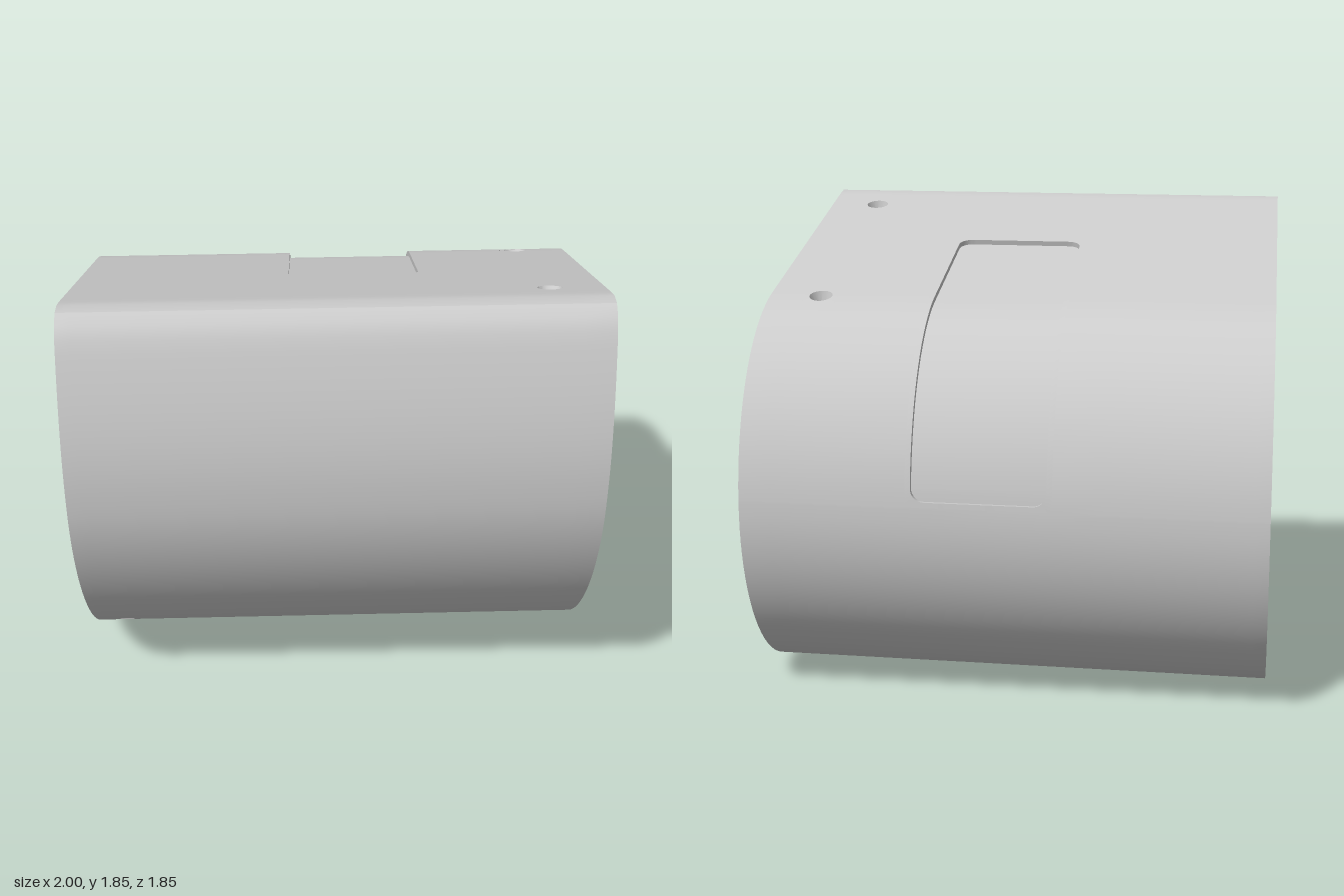
import * as THREE from 'three';
import { toCreasedNormals } from 'three/addons/utils/BufferGeometryUtils.js';

const WALL = 0.05, X0 = -1, X1 = 0.945;
const mat = new THREE.MeshStandardMaterial({ color: 0xcccccc, side: THREE.DoubleSide });

// Cross-section of the housing as (z, y), going over the top to the back, underneath and up the front
const profile = new THREE.Path();
profile.moveTo(0.66, 1.83);
profile.lineTo(-0.42, 1.51);
profile.bezierCurveTo(-0.71, 1.425, -0.92, 1.12, -0.92, 0.76);
profile.bezierCurveTo(-0.92, 0.36, -0.62, 0.008, -0.22, 0.008);
profile.bezierCurveTo(0.32, 0.008, 0.9, 0.62, 0.915, 1.15);
profile.bezierCurveTo(0.93, 1.35, 0.89, 1.55, 0.835, 1.74);
profile.bezierCurveTo(0.8, 1.86, 0.74, 1.854, 0.66, 1.83);
const LEN = profile.getLength();

// Point on the housing: x along it, s around it, off outward from the surface
function at(x, s, off = 0) {
  const t = s / LEN, wrap = v => ((v % 1) + 1) % 1;
  const p = profile.getPoint(wrap(t));
  const d = profile.getPoint(wrap(t + 0.002)).sub(profile.getPoint(wrap(t - 0.002))).normalize();
  return [x, p.y - d.x * off + 0.007 * x, p.x + d.y * off - 0.004 * x];
}

// Distance around the profile nearest to a given z, y
function sNear(z, y) {
  let best = 0, min = Infinity;
  for (let i = 0; i < 1000; i++) {
    const p = profile.getPoint(i / 1000), d = Math.hypot(p.x - z, p.y - y);
    if (d < min) { min = d; best = (i / 1000) * LEN; }
  }
  return best;
}

// Loop of a rounded rectangle around h; with margin it becomes the surrounding sharp rectangle
function ring(h, a, b, r, margin = null) {
  const out = [], N = 8, SIDE = 30;
  for (let k = 0; k < 4; k++) {
    const cx = (k === 0 || k === 3 ? 1 : -1) * (a - r), cs = (k < 2 ? 1 : -1) * (b - r);
    for (let j = 0; j <= N; j++) {
      const w = (k + j / N) * Math.PI / 2, c = Math.cos(w), s = Math.sin(w);
      const f = margin === null ? r : (r + margin) / Math.max(Math.abs(c), Math.abs(s));
      out.push([h.x + cx + c * f, h.s + cs + s * f]);
    }
  }
  const full = [];
  out.forEach((p, i) => {
    full.push(p);
    const q = out[(i + 1) % out.length];
    if (i % (N + 1) === N && (a - r > 0.001 || b - r > 0.001)) {
      for (let j = 1; j < SIDE; j++) full.push([0, 1].map(n => p[n] + (q[n] - p[n]) * j / SIDE));
    }
  });
  return full;
}

const M = 0.02;
const round = (x, z, y, r, ri = r) => ({ x, s: sNear(z, y), a: r, b: r, r, ri });
const holes = [
  round(0.745, -0.435, 1.5, 0.045, 0.025), round(0.745, 0.535, 1.79, 0.045, 0.025),
  round(-0.89, 0.41, 0.26, 0.035), round(0.245, 0.33, 0.2, 0.035),
  round(0.76, 0.07, 0.055, 0.045, 0.025), round(-0.2, 0.13, 0.08, 0.185),
];
const sTop = sNear(0.15, 1.68), sLow = sNear(-0.92, 0.82);
const panel = { x: 0.05, s: (sTop + sLow) / 2, a: 0.25, b: (sLow - sTop) / 2, r: 0.05 };

function housingGeometry() {
  const pos = [];
  const quad = (p, q, r, s, flip) => pos.push(...(flip ? [p, r, q, p, s, r] : [p, q, r, p, r, s]).flat());
  const lines = (list) => [...new Set(list)].sort((u, v) => u - v);

  // One skin of the wall, with its openings left free
  function skin(off, flip, cuts) {
    const xs = lines([X0, X1, ...cuts.flatMap(h => [h.x - h.a - M, h.x + h.a + M])]);
    const ss = lines([...Array.from({ length: 111 }, (_, i) => i * LEN / 110),
      ...cuts.flatMap(h => [h.s - h.b - M, h.s + h.b + M])]);
    for (let i = 0; i < xs.length - 1; i++) for (let j = 0; j < ss.length - 1; j++) {
      const mx = (xs[i] + xs[i + 1]) / 2, ms = (ss[j] + ss[j + 1]) / 2;
      if (cuts.some(h => Math.abs(mx - h.x) < h.a + M && Math.abs(ms - h.s) < h.b + M)) continue;
      quad(at(xs[i], ss[j], off), at(xs[i + 1], ss[j], off), at(xs[i + 1], ss[j + 1], off), at(xs[i], ss[j + 1], off), flip);
    }
    for (const h of cuts) {
      const ri = flip ? h.ri : h.r;
      const inner = flip ? ring(h, ri, ri, ri) : ring(h, h.a, h.b, h.r);
      const outer = ring(h, h.a, h.b, h.r, M);
      inner.forEach((p, i) => {
        const k = (i + 1) % inner.length;
        quad(at(...p, off), at(...outer[i], off), at(...outer[k], off), at(...inner[k], off), flip);
      });
    }
  }
  skin(0, false, [...holes, panel]);
  skin(-WALL, true, holes);

  // Walls of the openings and of the shallow panel
  const wall = (top, low, depth) => top.forEach((p, i) => {
    const k = (i + 1) % top.length;
    quad(at(...p), at(...top[k]), at(...low[k], -depth), at(...low[i], -depth));
  });
  holes.forEach(h => wall(ring(h, h.r, h.r, h.r), ring(h, h.ri, h.ri, h.ri), WALL));
  const edge = ring(panel, panel.a, panel.b, panel.r);
  wall(edge, edge, 0.02);

  // Floor of the panel, in rows that narrow at the rounded corners
  const rows = lines(edge.map(p => Math.round(p[1] * 1e5) / 1e5));
  const half = s => {
    const d = Math.min(panel.r, Math.max(0, Math.abs(s - panel.s) - (panel.b - panel.r)));
    return panel.a - panel.r + Math.sqrt(panel.r ** 2 - d ** 2);
  };
  for (let i = 0; i < rows.length - 1; i++) {
    const [s, t] = [rows[i], rows[i + 1]], [u, v] = [half(s), half(t)];
    quad(at(panel.x - u, s, -0.02), at(panel.x + u, s, -0.02), at(panel.x + v, t, -0.02), at(panel.x - v, t, -0.02));
  }

  // Rims at both ends
  for (const x of [X0, X1]) for (let i = 0; i < 110; i++) {
    const s = i * LEN / 110, t = (i + 1) * LEN / 110;
    quad(at(x, s), at(x, s, -WALL), at(x, t, -WALL), at(x, t), x === X0);
  }
  const g = new THREE.BufferGeometry();
  g.setAttribute('position', new THREE.Float32BufferAttribute(pos, 3));
  return toCreasedNormals(g, 0.5);
}

// Flat plate across the housing, drawn in (z, y) and extruded along x
function plate(outline, cuts, x, depth) {
  const vec = pts => pts.map(([z, y]) => new THREE.Vector2(-z, y));
  const shape = new THREE.Shape(vec(outline));
  shape.holes = cuts.map(c => new THREE.Path(vec(c)));
  const g = new THREE.ExtrudeGeometry(shape, { depth, bevelEnabled: false });
  g.rotateY(Math.PI / 2).translate(x, 0, 0);
  return toCreasedNormals(g, 0.5);
}
const circle = (z, y, r, n = 24) => Array.from({ length: n }, (_, i) =>
  [z + r * Math.cos(i * 2 * Math.PI / n), y + r * Math.sin(i * 2 * Math.PI / n)]);
function slot(z1, y1, z2, y2, r = 0.015) {
  const w = Math.atan2(y2 - y1, z2 - z1);
  return Array.from({ length: 18 }, (_, i) => {
    const e = i < 9, t = w + (e ? -Math.PI / 2 + i * Math.PI / 8 : Math.PI / 2 + (i - 9) * Math.PI / 8);
    return [(e ? z2 : z1) + r * Math.cos(t), (e ? y2 : y1) + r * Math.sin(t)];
  });
}
function contour(x, s0, s1, n = 110) {
  return Array.from({ length: n }, (_, i) => {
    const p = at(x, s0 + (s1 - s0) * i / (n - 1), -WALL + 0.004);
    return [p[2], p[1]];
  });
}

export function createModel() {
  const model = new THREE.Group();
  const add = (name, geometry, x = 0, y = 0, z = 0) => {
    const m = new THREE.Mesh(geometry, mat);
    m.name = name;
    m.position.set(x, y, z);
    model.add(m);
    return m;
  };
  add('housing', housingGeometry());

  // End plate with the large opening, window, slots and screw holes
  const sA = sNear(-0.74, 0.25), sB = sNear(0.5, 0.33);
  const outline = [...contour(-0.998, sB, sA + LEN),
    [-0.755, 0.5], [-0.15, 0.7], [-0.175, 1.03], [0.7, 1.23]];
  add('endPlate', plate(outline, [
    [[-0.06, 1.38], [-0.05, 1.155], [0.42, 1.285], [0.38, 1.52]],
    slot(0.12, 1.51, 0.38, 1.6), slot(-0.19, 1.42, 0, 1.475),
    slot(0.26, 1.2, 0.48, 1.265), slot(-0.11, 1.09, 0.08, 1.15),
    ...[[0.75, 0.93], [0.66, 0.73], [-0.46, 1.225], [-0.37, 0.916], [-0.66, 0.83]].map(([z, y]) => circle(z, y, 0.022)),
  ], -0.998, 0.06));

  // Recessed plate on the shaft side
  const cy = 1.005, cz = 0.21;
  add('facePlate', plate(contour(0.84, 0, LEN * 109 / 110), [circle(cz, cy, 0.45, 64)], 0.78, 0.06));

  // Stepped ring around the shaft
  const steps = [[0.54, 0.72], [0.54, 0.88], [0.49, 0.88], [0.49, 0.865], [0.42, 0.865],
    [0.415, 0.78], [0.28, 0.78], [0.28, 0.72], [0.54, 0.72]].map(p => new THREE.Vector2(...p));
  const ringGeo = new THREE.LatheGeometry(steps, 64).rotateZ(-Math.PI / 2);
  add('shaftRing', toCreasedNormals(ringGeo, 0.5), 0, cy, cz);

  const rod = (name, r, x0, x1, y, z) =>
    add(name, new THREE.CylinderGeometry(r, r, x1 - x0, 32).rotateZ(-Math.PI / 2), (x0 + x1) / 2, y, z);

  // Pegs on the recessed plate
  for (const [z, y, r] of [[0.69, 1.605, 0.068], [-0.61, 1.125, 0.054], [-0.26, 0.285, 0.04]]) {
    rod('peg', r, 0.83, 0.875, y, z);
  }

  // Drive block and its shaft
  add('driveBlock', new THREE.BoxGeometry(0.4, 0.5, 0.5), 0.5, cy, cz);
  add('shaftBase', new THREE.BoxGeometry(0.06, 0.21, 0.21), 0.72, cy, cz);
  rod('shaft', 0.08, 0.74, 0.91, cy, cz);
  rod('shaftCap', 0.108, 0.9, 1, cy, cz);
  return model;
}
